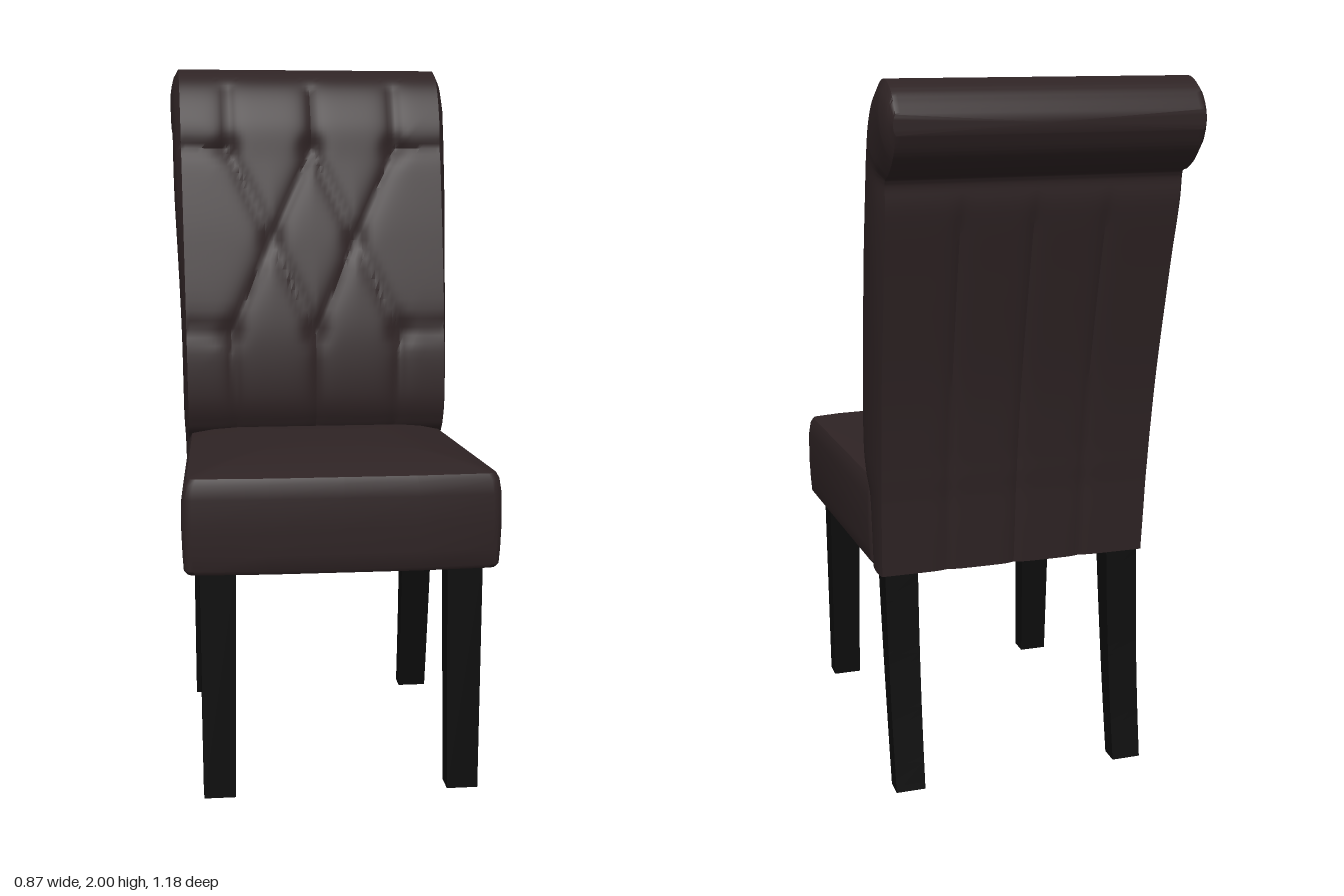
import * as THREE from 'three';
import { toCreasedNormals } from 'three/addons/utils/BufferGeometryUtils.js';

const upholstery = new THREE.MeshStandardMaterial({ color: 0x2e2324 });
upholstery.name = 'dark brown upholstery';
const blackWood = new THREE.MeshStandardMaterial({ color: 0x0c0c0c });
blackWood.name = 'black wood';
const lining = new THREE.MeshStandardMaterial({ color: 0x3a3119 });
lining.name = 'olive lining';

// Skins closed rings of [x, y, z], listed bottom to top and counterclockwise from above
function loft(rings, crease = 0.6) {
  const n = rings[0].length;
  const pos = rings.flat(2);
  const idx = [];
  for (let r = 0; r < rings.length - 1; r++) {
    for (let i = 0; i < n; i++) {
      const j = (i + 1) % n;
      const a = r * n + i, b = r * n + j, c = b + n, d = a + n;
      idx.push(a, b, c, a, c, d);
    }
  }
  // End caps, fanned from the middle of the first and last ring
  [0, rings.length - 1].forEach((r) => {
    const centre = pos.length / 3;
    for (let k = 0; k < 3; k++) pos.push(rings[r].reduce((s, p) => s + p[k], 0) / n);
    for (let i = 0; i < n; i++) {
      const a = r * n + i, b = r * n + ((i + 1) % n);
      if (r === 0) idx.push(centre, b, a);
      else idx.push(centre, a, b);
    }
  });
  const g = new THREE.BufferGeometry();
  g.setAttribute('position', new THREE.Float32BufferAttribute(pos, 3));
  g.setIndex(idx);
  return toCreasedNormals(g, crease);
}

function part(name, geometry, material) {
  const m = new THREE.Mesh(geometry, material);
  m.name = name;
  return m;
}

// Quilting seams: straight pleats below and above a diamond of buttons
const buttons = [];
const seams = [];
for (const x of [-0.26, 0, 0.26]) {
  buttons.push([x, 1.75], [x, 1.19]);
  seams.push([x, 1.75, x, 1.93], [x * 0.95, 0.9, x, 1.19]);
}
for (const x of [-0.13, 0.13]) {
  buttons.push([x, 1.47]);
  for (const dx of [-0.13, 0.13]) {
    seams.push([x, 1.47, x + dx, 1.75], [x, 1.47, x + dx, 1.19]);
  }
}
for (const s of [-1, 1]) {
  seams.push([s * 0.26, 1.75, s * 0.42, 1.755], [s * 0.26, 1.19, s * 0.42, 1.2]);
}

function segmentDistance(x, y, [ax, ay, bx, by]) {
  const dx = bx - ax, dy = by - ay;
  const t = THREE.MathUtils.clamp(((x - ax) * dx + (y - ay) * dy) / (dx * dx + dy * dy), 0, 1);
  return Math.hypot(x - ax - t * dx, y - ay - t * dy);
}

function tuftDepth(x, y) {
  const d = Math.min(...seams.map((s) => segmentDistance(x, y, s)));
  const b = Math.min(...buttons.map(([bx, by]) => Math.hypot(x - bx, y - by)));
  return 0.014 * Math.exp(-d / 0.022) + 0.014 * Math.exp(-((b / 0.035) ** 2));
}

function backrest() {
  // Paired front and rear side profiles as [z, y], ending at the tip of the scroll
  const curve = (pts) => new THREE.SplineCurve(pts.map(([z, y]) => new THREE.Vector2(z, y)));
  const front = curve([[-0.195, 0.635], [-0.19, 0.75], [-0.18, 0.85], [-0.14, 0.91], [-0.12, 1.0],
    [-0.14, 1.2], [-0.205, 1.47], [-0.27, 1.7], [-0.31, 1.84], [-0.375, 1.95], [-0.465, 2.0],
    [-0.54, 1.98], [-0.588, 1.92]]);
  const rear = curve([[-0.297, 0.635], [-0.306, 0.75], [-0.313, 0.85], [-0.32, 0.91], [-0.33, 1.0],
    [-0.36, 1.2], [-0.415, 1.47], [-0.455, 1.66], [-0.463, 1.745], [-0.5, 1.765], [-0.537, 1.79],
    [-0.567, 1.825], [-0.588, 1.87]]);
  const rings = [];
  const levels = 110, cols = 64, sideCols = 8;
  for (let k = 0; k <= levels; k++) {
    const f = front.getPoint(k / levels), b = rear.getPoint(k / levels);
    const edge = THREE.MathUtils.mapLinear(f.y, 0.635, 2, 0.39, 0.407);
    const bulge = 0.012 + 0.014 * THREE.MathUtils.smoothstep(f.y, 1.1, 1.8);
    const thin = Math.min(1, Math.hypot(f.x - b.x, f.y - b.y) / 0.2);
    const body = 1 - THREE.MathUtils.smoothstep(b.y, 1.6, 1.72);
    const ring = [];
    for (let i = 0; i <= cols; i++) {
      const x = edge * (2 * i / cols - 1);
      const tuft = f.x > -0.42 ? tuftDepth(x, f.y) : 0;
      ring.push([x, f.y, f.x - tuft]);
    }
    const side = (s, t) => ring.push([s * (edge + bulge * thin * Math.sin(Math.PI * t) ** 0.6),
      THREE.MathUtils.lerp(f.y, b.y, t), THREE.MathUtils.lerp(f.x, b.x, t)]);
    for (let i = 1; i < sideCols; i++) side(1, i / sideCols);
    for (let i = 0; i <= cols; i++) {
      const x = edge * (1 - 2 * i / cols);
      const d = Math.min(Math.abs(x), Math.abs(Math.abs(x) - 0.2));
      ring.push([x, b.y, b.x + 0.01 * body * Math.exp(-d / 0.015)]);
    }
    for (let i = sideCols - 1; i > 0; i--) side(-1, i / sideCols);
    rings.push(ring);
  }
  return loft(rings, 0.7);
}

// Tapered seat outline, wider at the front, with small rounded corners
function seatRing(y, scale, inset = 0) {
  const corners = [[-0.425, 0.575], [0.425, 0.575], [0.395, -0.18], [-0.395, -0.18]];
  const ring = [];
  const r = 0.025;
  corners.forEach(([cx, cz], q) => {
    const sx = Math.sign(cx), sz = cz > 0 ? 1 : -1;
    const start = [0.75, 0.25, -0.25, -0.75][q] * Math.PI;
    for (let i = 0; i <= 4; i++) {
      const a = start + Math.PI / 4 - (i / 4) * Math.PI / 2;
      ring.push([cx - sx * (r + inset) + r * Math.cos(a), cz - sz * (r + inset) + r * Math.sin(a)]);
    }
    // Bowed front edge
    if (q === 0) for (const x of [-0.2, 0, 0.2]) ring.push([x, 0.585 - inset]);
  });
  return ring.map(([x, z]) => [x * scale, y, 0.2 + (z - 0.2) * scale]);
}

// Rectangular leg from rows of [y, x inner, x outer, z back, z front]
function leg(rows, s) {
  return loft(rows.map(([y, x0, x1, z0, z1]) => {
    const [a, b] = s > 0 ? [x0, x1] : [-x1, -x0];
    return [[a, y, z1], [b, y, z1], [b, y, z0], [a, y, z0]];
  }));
}

export function createModel() {
  const chair = new THREE.Group();
  chair.name = 'diningChair';

  chair.add(part('backrest', backrest(), upholstery));

  // Cushion with crowned top
  const levels = [[0.627, 0.975], [0.637, 0.993], [0.68, 1], [0.75, 1.006], [0.83, 1.003], [0.868, 0.99],
    [0.884, 0.97], [0.902, 0.83], [0.918, 0.65], [0.928, 0.45], [0.933, 0.25], [0.935, 0.05]];
  chair.add(part('seat', loft(levels.map(([y, s]) => seatRing(y, s))), upholstery));

  // Underside frame and lining
  chair.add(part('seatFrame', loft([0.622, 0.63].map((y) => seatRing(y, 1, 0.03))), blackWood));
  chair.add(part('underLining', loft([0.618, 0.624].map((y) => seatRing(y, 1, 0.08))), lining));

  // Straight front legs, swept rear legs
  const rearRows = [];
  for (let i = 0; i <= 8; i++) {
    const t = i / 8;
    const z = -0.335 + 0.118 * t - 0.033 * t * t;
    const half = 0.029 + 0.011 * t * t;
    rearRows.push([0.64 * t, 0.29 - 0.005 * t, 0.375 + 0.005 * t, z - half, z + half]);
  }
  for (const s of [1, -1]) {
    const sideName = s > 0 ? 'Left' : 'Right';
    chair.add(part('front' + sideName + 'Leg',
      leg([[0, 0.29, 0.375, 0.482, 0.543], [0.64, 0.284, 0.381, 0.457, 0.54]], s), blackWood));
    chair.add(part('rear' + sideName + 'Leg', leg(rearRows, s), blackWood));
  }
  return chair;
}
